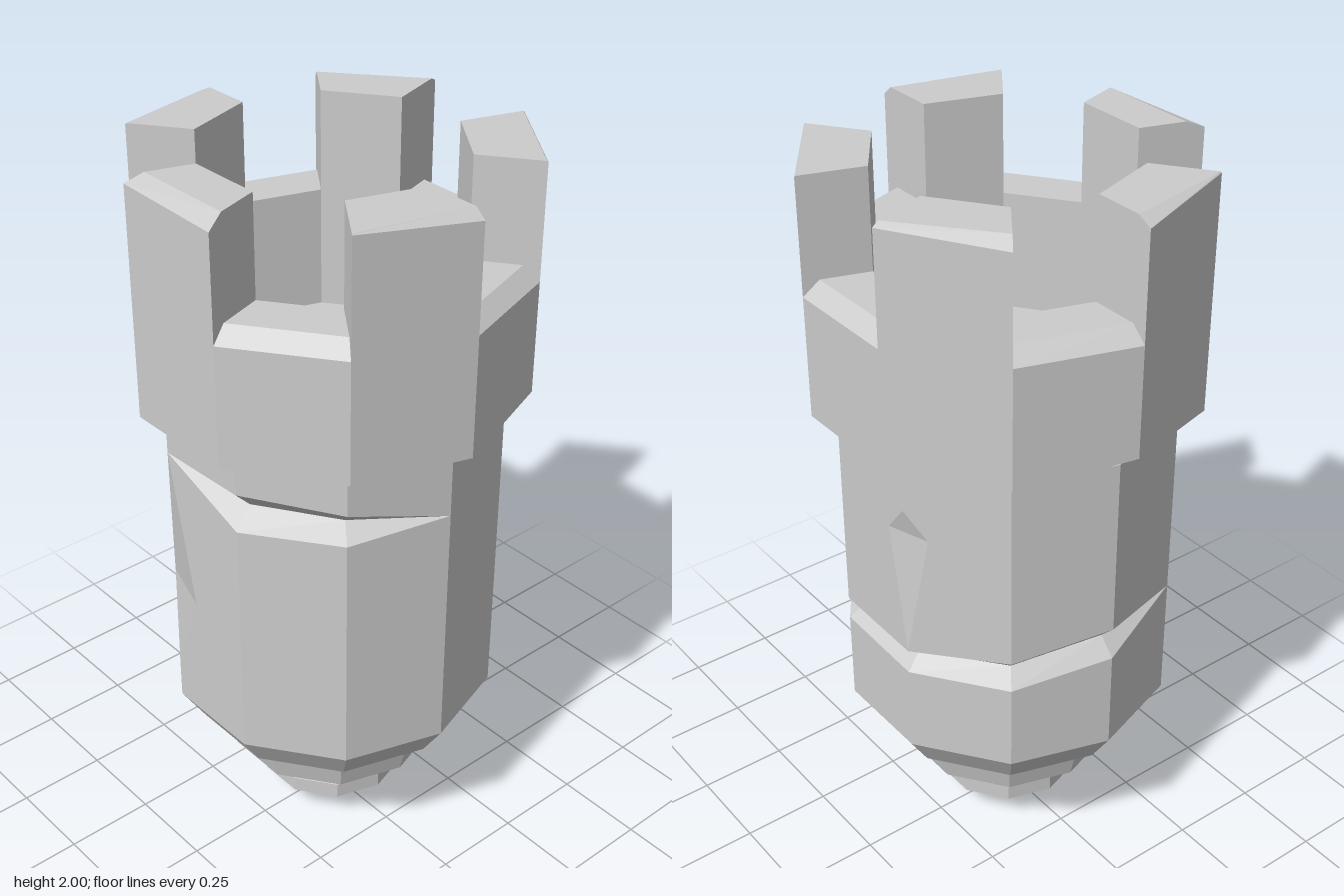
import * as THREE from 'three';

const SIDES = 10;
const mat = new THREE.MeshStandardMaterial({ color: 0xcccccc, flatShading: true });

// Corner of the ten-sided plan: index k, radius r, height y
const corner = (k, r, y) => {
  const a = (k * Math.PI * 2) / SIDES;
  return new THREE.Vector3(Math.cos(a) * r, y, Math.sin(a) * r);
};
const ring = (r, y) => Array.from({ length: SIDES }, (_, k) => corner(k, r, y));

// Joins closed cross-sections of equal count and caps both ends
function loft(name, rings) {
  const pos = [];
  const tri = (a, b, c) => {
    const area = b.clone().sub(a).cross(c.clone().sub(a)).length();
    if (area > 1e-7) for (const p of [a, b, c]) pos.push(p.x, p.y, p.z);
  };
  const n = rings[0].length;
  for (let i = 0; i < rings.length - 1; i++) {
    for (let j = 0; j < n; j++) {
      const m = (j + 1) % n, lo = rings[i], hi = rings[i + 1];
      tri(lo[j], hi[j], lo[m]);
      tri(lo[m], hi[j], hi[m]);
    }
  }
  const cap = (loop, up) => {
    const c = loop.reduce((s, p) => s.add(p), new THREE.Vector3()).divideScalar(n);
    loop.forEach((p, j) => {
      const q = loop[(j + 1) % n];
      if (up) tri(c, q, p); else tri(c, p, q);
    });
  };
  cap(rings[0], false);
  cap(rings[rings.length - 1], true);
  const geo = new THREE.BufferGeometry();
  geo.setAttribute('position', new THREE.Float32BufferAttribute(pos, 3));
  geo.computeVertexNormals();
  const mesh = new THREE.Mesh(geo, mat);
  mesh.name = name;
  return mesh;
}

// Tower shaft with two tapering cracks and two chipped corners
function makeShaft() {
  const R = 0.45;
  // Crack heights per corner: bottom lip, groove, top lip (one value = closed)
  const lowCrack = {
    3: [0.56], 4: [0.8], 5: [0.735, 0.785, 0.83], 6: [0.70, 0.75, 0.79],
    7: [0.70, 0.74, 0.77], 8: [0.71, 0.75, 0.775], 9: [0.755],
  };
  const highCrack = {
    0: [1.16], 1: [1.14, 1.18, 1.23], 2: [1.14, 1.19, 1.25], 3: [1.24], 7: [1.21],
  };
  const chips = { 3: { y: 0.81, w: 0.33 }, 7: { y: 1.13, w: 0.23 } };
  const rows = Array.from({ length: 10 }, () => []);

  for (let k = 0; k < SIDES; k++) {
    const crackPoints = (h, depth) => [0, 1, 2].map((i) =>
      corner(k, h.length > 1 && i === 1 ? R - depth : R, h.length > 1 ? h[i] : h[0]));
    const chip = chips[k];
    const chipY = chip ? chip.y : 0.95;
    const column = [
      corner(k, 0.385, 0.35),
      corner(k, R, 0.45),
      ...crackPoints(lowCrack[k] || [0.76], 0.045),
      corner(k, R, chipY),
      ...crackPoints(highCrack[k] || [1.2], 0.06),
      corner(k, R, 1.335),
    ];
    column.forEach((p, i) => {
      if (!chip) rows[i].push(p);
      else if (i !== 5) rows[i].push(p, p, p);
      else {
        // Cut the corner back to the chord between its two neighbours
        const a = p.clone().lerp(corner(k - 1, R, chipY), chip.w);
        const b = p.clone().lerp(corner(k + 1, R, chipY), chip.w);
        rows[i].push(a, a.clone().lerp(b, 0.5), b);
      }
    });
  }
  return loft('shaft', rows);
}

// Overhanging crown with bevelled rim and a sunken floor
function makeCrown() {
  const under = ring(0.515, 1.36);
  under[5].y = under[9].y = 1.385;
  return loft('crown', [
    ring(0.44, 1.33), under, ring(0.515, 1.69), ring(0.472, 1.73), ring(0.34, 1.73), ring(0.34, 1.4),
  ]);
}

// One battlement over side k; wear = [height lost, inset] at each outer corner
function makeMerlon(k, wear) {
  const inner = (y) => [corner(k + 1, 0.34, y), corner(k, 0.34, y)];
  const outer = (r0, y0, r1, y1) => [corner(k, r0, y0), corner(k + 1, r1, y1)];
  const [[d0, i0], [d1, i1]] = wear;
  return loft('merlon', [
    [...outer(0.515, 1.68, 0.515, 1.68), ...inner(1.68)],
    [...outer(0.515, 2 - d0, 0.515, 2 - d1), ...inner(1.999)],
    [...outer(0.515 - i0, 2, 0.515 - i1, 2), ...inner(2)],
  ]);
}

export function createModel() {
  const model = new THREE.Group();

  // Stepped nose below the shaft
  model.add(loft('noseDome', [ring(0.19, 0.135), ring(0.295, 0.22), ring(0.33, 0.36)]));
  model.add(loft('noseTip', [
    ring(0.045, 0), ring(0.115, 0.06), ring(0.205, 0.09), ring(0.205, 0.135), ring(0.19, 0.14),
  ]));
  model.add(makeShaft(), makeCrown());

  // Battlements on every second side, with worn outer edges
  const battlements = new THREE.Group();
  battlements.name = 'battlements';
  const none = [0.003, 0.003];
  const wear = {
    0: [[0.025, 0.03], none],
    2: [[0.03, 0.05], [0.02, 0.05]],
    4: [none, [0.02, 0.04]],
    6: [[0.025, 0.04], [0.01, 0.02]],
    8: [none, none],
  };
  for (let k = 0; k < SIDES; k += 2) battlements.add(makeMerlon(k, wear[k]));
  model.add(battlements);

  for (const part of model.children) part.position.z = -0.007;
  return model;
}
